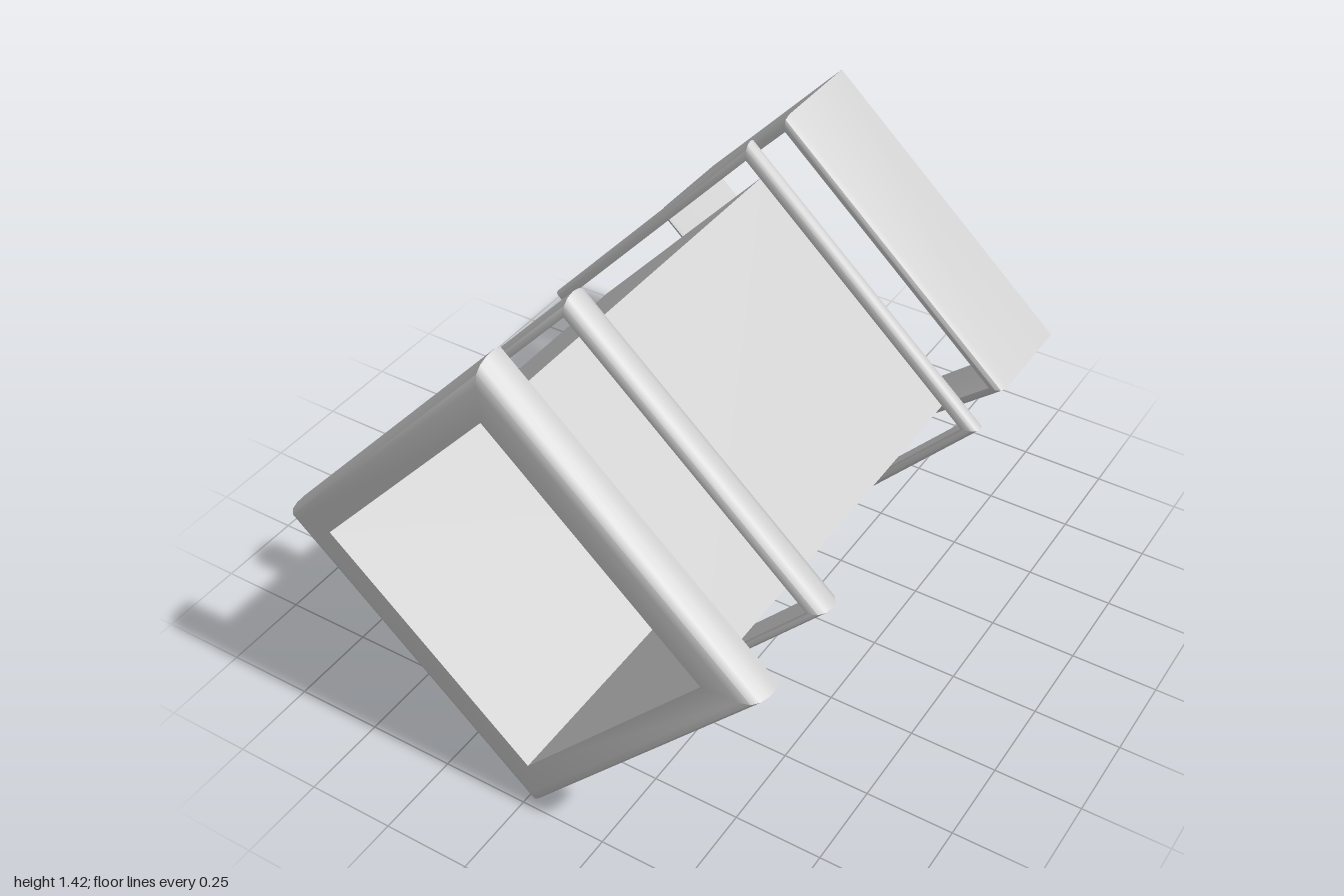
import * as THREE from 'three';
import { toCreasedNormals } from 'three/addons/utils/BufferGeometryUtils.js';

const TILT = 0.046;   // small roll of the diamond
const CENTRE_Y = 0.71;

// Four-sided frame: profile of [corner radius, z] swept round the z axis,
// optionally sheared so its upper right side leans forward.
function frame(name, profile, shear = 0) {
  const points = profile.map(([r, z]) => new THREE.Vector2(r, z));
  let geometry = new THREE.LatheGeometry(points, 4);
  geometry.rotateX(Math.PI / 2);
  if (shear) {
    const p = geometry.attributes.position;
    for (let i = 0; i < p.count; i++) {
      p.setZ(i, p.getZ(i) + shear * (p.getX(i) + p.getY(i)) * Math.SQRT1_2);
    }
  }
  geometry.rotateZ(TILT);
  geometry = toCreasedNormals(geometry, 0.75);
  const mesh = new THREE.Mesh(geometry, new THREE.MeshStandardMaterial({
    color: 0xcccccc, side: THREE.DoubleSide,
  }));
  mesh.name = name;
  mesh.position.y = CENTRE_Y;
  return mesh;
}

// Closed ring profile, flat inside and rounded outside
function ringProfile(z, half, inner, outer) {
  const list = [[inner, z - half]];
  const bulge = 0.035;
  for (let i = 0; i <= 6; i++) {
    const a = -Math.PI / 2 + (i / 6) * Math.PI;
    list.push([outer - bulge + bulge * Math.cos(a), z + half * Math.sin(a)]);
  }
  list.push([inner, z + half], [inner, z - half]);
  return list;
}

export function createModel() {
  const model = new THREE.Group();

  // Front bezel, hollow at the back
  model.add(frame('frontBezel', [
    [0.555, 0.965], [0.66, 0.965], [0.675, 0.9], [0.703, 0.9], [0.71, 0.92],
    [0.708, 0.95], [0.7, 0.975], [0.685, 0.992], [0.655, 1], [0.555, 1],
  ]));

  // Deep inner box, open at the front and closed at the back
  model.add(frame('innerBox', [[0, -0.23], [0.551, -0.23], [0.555, 1]]));

  // Two thin rings round the box
  model.add(frame('frontRing', ringProfile(0.62, 0.046, 0.64, 0.687)));
  model.add(frame('rearRing', ringProfile(-0.175, 0.026, 0.64, 0.687)));

  // Slanted rear shroud with a small lip on its front edge
  const shroud = frame('rearShroud', [
    [0.667, -0.16], [0.667, 0.125], [0.66, 0.147], [0.645, 0.157], [0.625, 0.16],
  ], 0.36);
  shroud.position.z = -0.668;
  model.add(shroud);

  return model;
}
